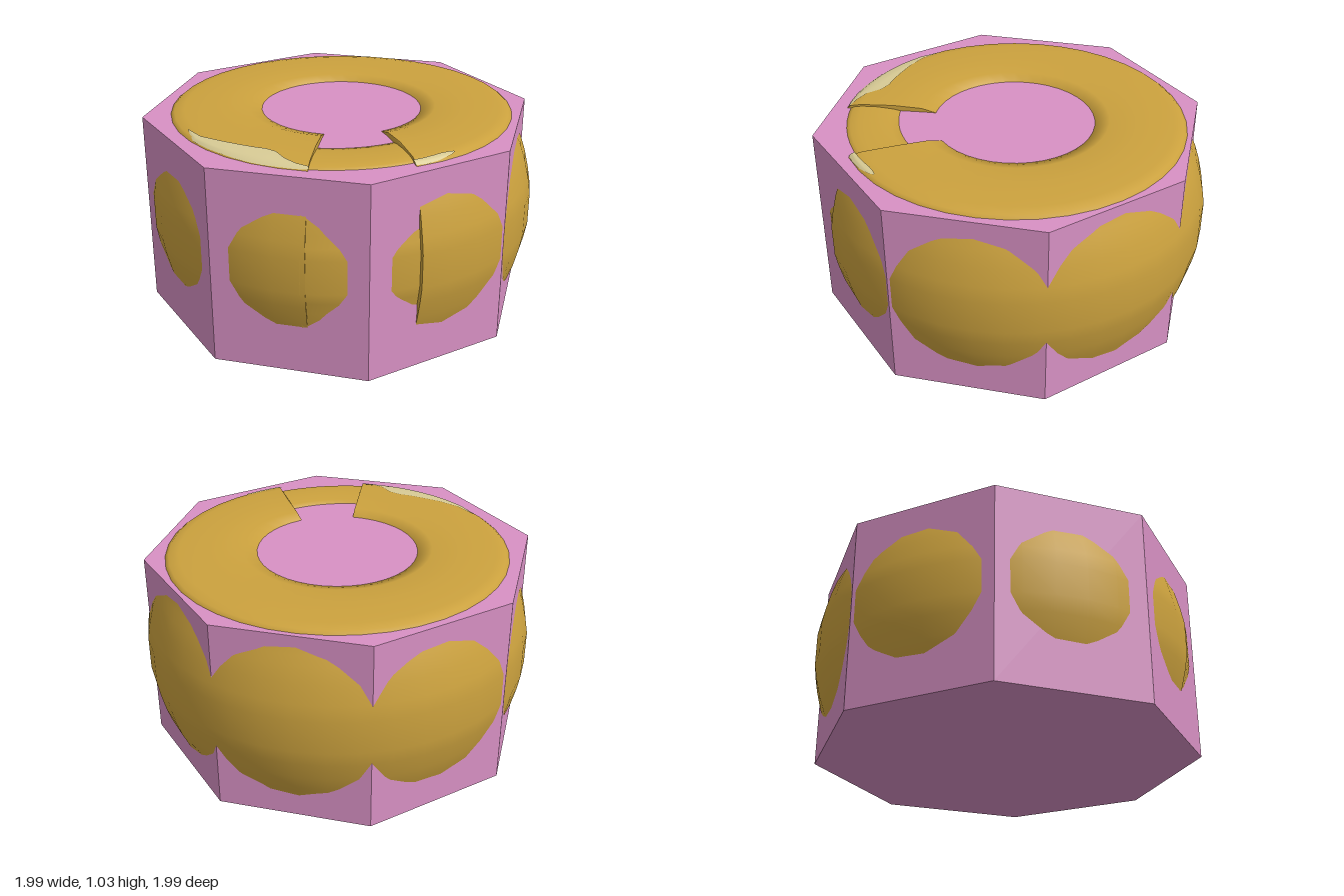
import * as THREE from 'three';

const RAD = Math.PI / 180;
const MID_Y = 0.53;

// Upper half of each ring section, outer wall to inner wall: [radius, height above the middle]
const RING = [[0.987, 0.085], [0.973, 0.165], [0.95, 0.26], [0.924, 0.337], [0.904, 0.38], [0.887, 0.425],
  [0.87, 0.468], [0.85, 0.484], [0.8, 0.493], [0.63, 0.497], [0.48, 0.49], [0.4, 0.468], [0.33, 0.3], [0.3, 0]];
const PLUG = [[0.9725, 0.085], [0.961, 0.14], [0.946, 0.2], [0.93, 0.28], [0.905, 0.35], [0.875, 0.42],
  [0.843, 0.468], [0.82, 0.478], [0.78, 0.484], [0.7, 0.485], [0.62, 0.478], [0.568, 0.468], [0.48, 0.3], [0.45, 0]];

// Closed section loop, mirrored about the middle height
function sectionLoop(half) {
  const lower = half.map(([r, h]) => new THREE.Vector2(r, MID_Y - h)).reverse();
  const upper = half.map(([r, h]) => new THREE.Vector2(r, MID_Y + h));
  return [...lower, ...upper.slice(0, -1), lower[0].clone()];
}

// Height of the ring's top surface at a radius
function ringTop(r) {
  for (let i = 0; i < RING.length - 1; i++) {
    const [r0, h0] = RING[i], [r1, h1] = RING[i + 1];
    if (r <= r0 && r >= r1) return MID_Y + h0 + (h1 - h0) * (r0 - r) / (r0 - r1);
  }
  return MID_Y;
}

// The cut ends of the ring lean slightly with radius
const lean = (r, a, b) => RAD * THREE.MathUtils.lerp(a, b, THREE.MathUtils.clamp((r - 0.41) / 0.52, 0, 1));
const startAngle = (r) => lean(r, 20, 13.6);
const endAngle = (r) => lean(r, 340, 342.2);

function ringGeometry(loop) {
  const segments = 36;
  const geo = new THREE.LatheGeometry(loop, segments);
  const pos = geo.attributes.position;
  for (let i = 0; i < pos.count; i++) {
    const { x: r, y } = loop[i % loop.length];
    const t = Math.floor(i / loop.length) / segments;
    const a = THREE.MathUtils.lerp(startAngle(r), endAngle(r), t);
    pos.setXYZ(i, r * Math.sin(a), y, r * Math.cos(a));
  }
  geo.computeVertexNormals();
  return geo;
}

function endGeometry(loop, angleAt) {
  const geo = new THREE.ShapeGeometry(new THREE.Shape(loop.slice(0, -1)));
  const pos = geo.attributes.position;
  for (let i = 0; i < pos.count; i++) {
    const r = pos.getX(i), a = angleAt(r);
    pos.setXYZ(i, r * Math.sin(a), pos.getY(i), r * Math.cos(a));
  }
  geo.computeVertexNormals();
  return geo;
}

// Thin patch lying on the rim; each column is [angle, inner radius, outer radius]
function patchGeometry(columns) {
  const rows = 6, verts = [], index = [];
  columns.forEach(([deg, r0, r1], c) => {
    for (let k = 0; k <= rows; k++) {
      const r = THREE.MathUtils.lerp(r0, r1, k / rows), a = deg * RAD;
      verts.push(r * Math.sin(a), ringTop(r) + 0.004, r * Math.cos(a));
      if (c && k) {
        const d = c * (rows + 1) + k, b = d - rows - 1;
        index.push(b - 1, b, d, b - 1, d, d - 1);
      }
    }
  });
  const geo = new THREE.BufferGeometry();
  geo.setAttribute('position', new THREE.Float32BufferAttribute(verts, 3));
  geo.setIndex(index);
  geo.computeVertexNormals();
  return geo;
}

export function createModel() {
  const pink = new THREE.MeshStandardMaterial({ name: 'pink', color: 0xd891c4 });
  const gold = new THREE.MeshStandardMaterial({ name: 'gold', color: 0xcca23e, side: THREE.DoubleSide });
  const cream = new THREE.MeshStandardMaterial({ name: 'cream', color: 0xd9cc96, side: THREE.DoubleSide });

  const model = new THREE.Group();
  model.name = 'ringInBox';
  const add = (parent, name, geo, mat) => {
    const mesh = new THREE.Mesh(geo, mat);
    mesh.name = name;
    parent.add(mesh);
    return mesh;
  };

  // Eight-sided box
  const boxGeo = new THREE.CylinderGeometry(0.99, 0.99, 1, 8).toNonIndexed();
  boxGeo.computeVertexNormals();
  add(model, 'octagonalBox', boxGeo, pink).position.set(-0.007, 0.5, 0);

  // Thick ring bulging through the box, open at the front
  const ring = new THREE.Group();
  ring.name = 'ring';
  ring.position.set(0.012, 0, -0.018);
  model.add(ring);
  const loop = sectionLoop(RING);
  add(ring, 'ringBody', ringGeometry(loop), gold);
  add(ring, 'ringLeftEnd', endGeometry(loop, startAngle), gold);
  add(ring, 'ringRightEnd', endGeometry(loop, endAngle), gold);

  // Pale patches on the rim beside the opening
  add(ring, 'rightRimPatch', patchGeometry([[-70, 0.83, 0.834], [-62, 0.822, 0.864], [-54, 0.79, 0.864],
    [-47, 0.765, 0.864], [-41, 0.75, 0.866], [-36, 0.738, 0.867], [-31.6, 0.749, 0.867],
    [-26.7, 0.804, 0.866], [-22, 0.835, 0.866], [-18, 0.85, 0.864]]), cream);
  add(ring, 'leftRimPatch', patchGeometry([[14.2, 0.834, 0.865], [18, 0.832, 0.867], [22, 0.828, 0.864],
    [25, 0.825, 0.858], [28, 0.83, 0.852], [29.5, 0.836, 0.842]]), cream);

  // Slimmer section filling the opening
  const plugGeo = new THREE.LatheGeometry(sectionLoop(PLUG), 8, -17 * RAD, 42 * RAD);
  add(model, 'frontPlug', plugGeo, gold).position.set(-0.03, 0, -0.018);

  return model;
}
